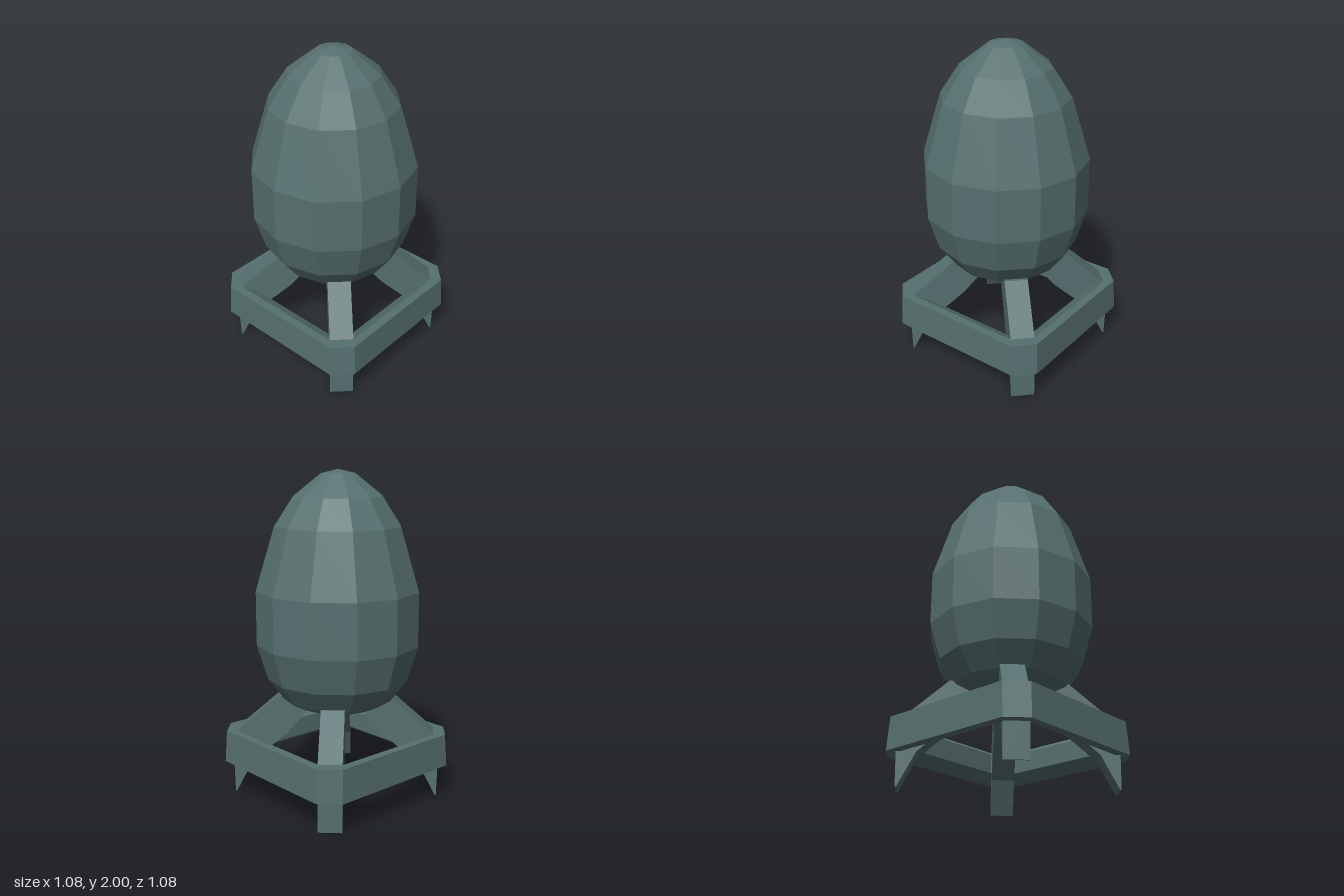
import * as THREE from 'three';

const material = new THREE.MeshStandardMaterial({ color: 0x56706f, flatShading: true });

function addMesh(parent, name, geometry) {
  const mesh = new THREE.Mesh(geometry, material);
  mesh.name = name;
  parent.add(mesh);
  return mesh;
}

// Square ring with chamfered corners, swept from a closed [halfWidth, y] section
function chamferedRing(section, chamfer) {
  const loops = section.map(([w, y]) => {
    const c = w - chamfer;
    return [[w, c], [c, w], [-c, w], [-w, c], [-w, -c], [-c, -w], [c, -w], [w, -c]]
      .map(([x, z]) => [x, y, z]);
  });
  const positions = [];
  loops.forEach((a, i) => {
    const b = loops[(i + 1) % loops.length];
    for (let k = 0; k < 8; k++) {
      const n = (k + 1) % 8;
      positions.push(...a[k], ...b[k], ...b[n], ...a[k], ...b[n], ...a[n]);
    }
  });
  const geometry = new THREE.BufferGeometry();
  geometry.setAttribute('position', new THREE.Float32BufferAttribute(positions, 3));
  geometry.computeVertexNormals();
  return geometry;
}

export function createModel() {
  const model = new THREE.Group();
  model.name = 'eggOnStand';

  // Twelve-sided egg, profile from bottom to top
  const profile = [
    [0, 0.52], [0.09, 0.522], [0.23, 0.56], [0.335, 0.61], [0.435, 0.745], [0.5, 0.96],
    [0.5, 1.29], [0.385, 1.67], [0.27, 1.845], [0.105, 1.975], [0, 2],
  ].map(([r, y]) => new THREE.Vector2(r, y));
  const egg = addMesh(model, 'egg', new THREE.LatheGeometry(profile, 12));
  egg.position.z = 0.018;

  // Bevelled frame around the legs
  const section = [
    [0.54, 0.2], [0.53, 0.4], [0.48, 0.4], [0.41, 0.36], [0.41, 0.24], [0.48, 0.2],
  ];
  addMesh(model, 'frame', chamferedRing(section, 0.105));

  // Four diagonal legs: upright outer foot, arm leaning in under the egg
  const legShape = new THREE.Shape([
    [0.63, 0], [0.635, 0.2], [0.608, 0.4], [0.345, 0.63],
    [0.28, 0.625], [0.18, 0.53], [0.29, 0.4], [0.52, 0.2], [0.622, 0],
  ].map(([d, y]) => new THREE.Vector2(d, y)));
  const legWidth = 0.14;
  const legGeometry = new THREE.ExtrudeGeometry(legShape, { depth: legWidth, bevelEnabled: false });
  legGeometry.translate(0, 0, -legWidth / 2);
  ['backLeftLeg', 'backRightLeg', 'frontRightLeg', 'frontLeftLeg'].forEach((name, i) => {
    addMesh(model, name, legGeometry).rotation.y = Math.PI / 4 + i * Math.PI / 2;
  });

  return model;
}
